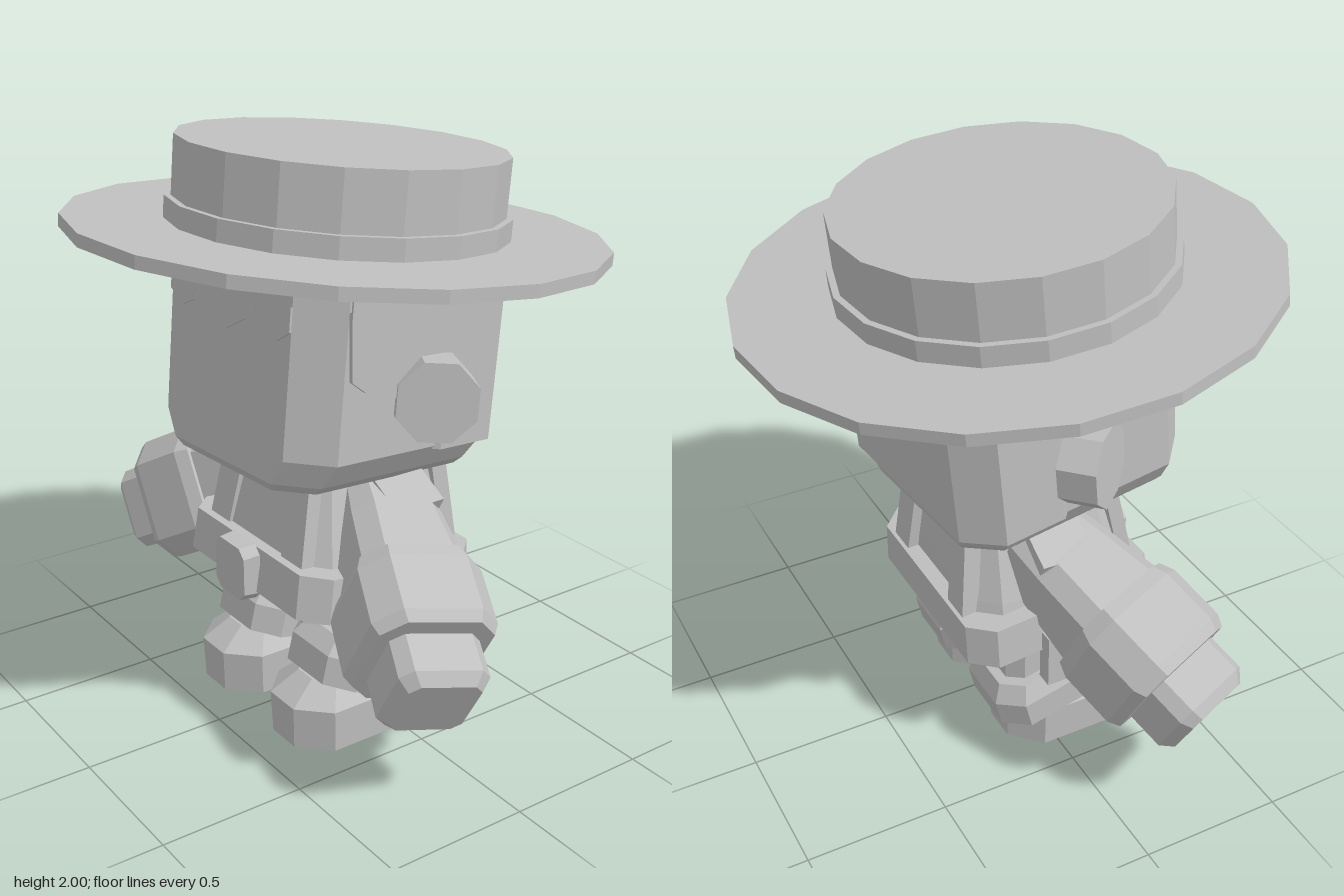
import * as THREE from 'three';

const grey = new THREE.MeshStandardMaterial({ color: 0xbfbfbf });
grey.name = 'plain grey';
grey.flatShading = true;

function add(parent, name, geometry, x = 0, y = 0, z = 0) {
  const mesh = new THREE.Mesh(geometry, grey);
  mesh.name = name;
  mesh.position.set(x, y, z);
  parent.add(mesh);
  return mesh;
}

// Skin chamfered rectangles, each [y, halfX, halfZ, chamfer, centreZ], into a closed solid
function loft(sections) {
  const pos = [], index = [];
  sections.forEach(([y, w, d, c, z = 0]) => {
    const ring = [[w, c - d], [w, d - c], [w - c, d], [c - w, d], [-w, d - c], [-w, c - d], [c - w, -d], [w - c, -d]];
    ring.forEach(([px, pz]) => pos.push(px, y, pz + z));
  });
  const top = (sections.length - 1) * 8;
  for (let s = 0; s < top; s += 8) {
    for (let i = 0; i < 8; i++) {
      const a = s + i, b = s + (i + 1) % 8;
      index.push(a, a + 8, b, b, a + 8, b + 8);
    }
  }
  for (let i = 1; i < 7; i++) {
    index.push(0, i, i + 1);
    index.push(top, top + i + 1, top + i);
  }
  const g = new THREE.BufferGeometry();
  g.setAttribute('position', new THREE.Float32BufferAttribute(pos, 3));
  g.setIndex(index);
  const flat = g.toNonIndexed();
  flat.computeVertexNormals();
  return flat;
}

function plate(points, depth) {
  const shape = new THREE.Shape(points.map(([x, y]) => new THREE.Vector2(x, y)));
  return new THREE.ExtrudeGeometry(shape, { depth, bevelEnabled: false });
}

function disc(r, h, sides) {
  return new THREE.CylinderGeometry(r, r, h, sides).toNonIndexed();
}

function buildHead() {
  const head = new THREE.Group();
  head.name = 'head';
  head.position.y = 1.67;
  head.rotation.set(-0.09, 0.087, 0);

  // Face and jaw
  add(head, 'face', loft([
    [-0.75, 0.34, 0.40, 0.10, 0],
    [-0.72, 0.37, 0.42, 0.11, 0],
    [-0.63, 0.43, 0.43, 0.12, -0.01],
    [0, 0.43, 0.43, 0.12, -0.01],
  ]));

  // Hair: back block, cap under the hat, sides and scalloped fringe
  add(head, 'backHair', loft([[-0.64, 0.445, 0.22, 0.11, -0.235], [0, 0.445, 0.22, 0.11, -0.235]]));
  add(head, 'hairCap', loft([[-0.14, 0.438, 0.438, 0.12, -0.01], [0, 0.438, 0.438, 0.12, -0.01]]));
  const side = [[0.30, 0], [0.30, -0.16], [0.28, -0.36], [0.22, -0.40], [0.14, -0.43], [-0.02, -0.44], [-0.13, -0.5], [-0.13, 0]];
  for (const s of [-1, 1]) {
    const panel = add(head, 'sideHair', plate(side, 0.02), s > 0 ? 0.445 : -0.425);
    panel.rotation.y = -Math.PI / 2;
  }
  const fringe = [[-0.31, -0.1], [-0.31, -0.22], [-0.24, -0.26], [-0.18, -0.23], [-0.14, -0.16], [-0.1, -0.23],
    [0, -0.28], [0.09, -0.23], [0.13, -0.16], [0.18, -0.23], [0.25, -0.26], [0.31, -0.22], [0.31, -0.1]];
  add(head, 'fringe', plate(fringe, 0.009), 0, 0, 0.419);

  // Eight-sided ears turned partly forward
  for (const s of [-1, 1]) {
    const ear = disc(0.14, 0.13, 8);
    ear.rotateY(Math.PI / 8);
    ear.rotateX(Math.PI / 2);
    ear.rotateY(s * 0.96);
    add(head, 'ear', ear, s * 0.48, -0.44, -0.04);
  }

  // Wide flat-topped hat
  const hat = new THREE.Group();
  hat.name = 'hat';
  hat.rotation.y = Math.PI / 2;
  add(hat, 'brim', disc(0.892, 0.042, 18), 0, 0, 0);
  add(hat, 'hatBand', disc(0.565, 0.075, 18), 0, 0.055, 0);
  add(hat, 'crown', disc(0.543, 0.27, 18), 0, 0.152, 0);
  head.add(hat);
  return head;
}

function buildBody() {
  const body = new THREE.Group();
  body.name = 'body';
  add(body, 'neck', loft([[0.85, 0.15, 0.15, 0.05], [1.02, 0.15, 0.15, 0.05]]));
  add(body, 'torso', loft([
    [0.46, 0.37, 0.31, 0.08, 0.03],
    [0.64, 0.33, 0.30, 0.08, 0.03],
    [0.95, 0.24, 0.25, 0.07, 0.01],
  ]));

  // Shoulder straps running down front and back
  for (const s of [-1, 1]) {
    const front = add(body, 'frontStrap', new THREE.BoxGeometry(0.12, 0.36, 0.05), s * 0.21, 0.78, 0.29);
    front.rotation.set(-0.19, 0, s * 0.1);
    const back = add(body, 'backStrap', new THREE.BoxGeometry(0.11, 0.38, 0.06), s * 0.2, 0.76, -0.265);
    back.rotation.set(0.1, 0, s * 0.1);
    add(body, 'hipPouch', new THREE.BoxGeometry(0.06, 0.2, 0.12), s * 0.425, 0.44, -0.02);
  }

  // Belt, raised slightly at the front, with its buckle
  const belt = add(body, 'belt', loft([[-0.075, 0.41, 0.36, 0.08], [0.075, 0.40, 0.35, 0.08]]), 0, 0.55, 0.03);
  belt.rotation.x = -0.09;
  const buckle = loft([[-0.03, 0.095, 0.1, 0.03], [0.03, 0.09, 0.095, 0.03]]);
  buckle.rotateX(Math.PI / 2);
  add(body, 'buckle', buckle, 0, 0.57, 0.41);
  return body;
}

function buildArm(s) {
  const arm = new THREE.Group();
  arm.name = s > 0 ? 'leftArm' : 'rightArm';
  // Local y runs down the arm: outward, down and a little forward
  const along = new THREE.Vector3(s * 0.82, -0.47, 0.34).normalize();
  const across = new THREE.Vector3(s * 0.47, 0.82, 0).normalize();
  const depth = new THREE.Vector3().crossVectors(across, along);
  arm.quaternion.setFromRotationMatrix(new THREE.Matrix4().makeBasis(across, along, depth));
  arm.position.set(s * 0.3, 0.76, 0.02);
  add(arm, 'sleeve', loft([[-0.1, 0.13, 0.14, 0.05], [0.06, 0.16, 0.16, 0.06], [0.3, 0.19, 0.18, 0.06]]));
  add(arm, 'cuff', loft([[0.27, 0.21, 0.19, 0.07], [0.32, 0.225, 0.21, 0.08], [0.52, 0.225, 0.21, 0.08], [0.56, 0.21, 0.19, 0.07]]));
  add(arm, 'hand', loft([[0.5, 0.15, 0.15, 0.04], [0.69, 0.15, 0.15, 0.04], [0.73, 0.12, 0.12, 0.03]]));
  return arm;
}

function buildLeg(s) {
  const leg = new THREE.Group();
  leg.name = s > 0 ? 'leftLeg' : 'rightLeg';
  leg.position.x = s * 0.225;
  add(leg, 'trouserLeg', loft([[0.2, 0.12, 0.16, 0.05, 0], [0.52, 0.12, 0.17, 0.05, 0.01]]));
  const cuff = add(leg, 'bootCuff', loft([
    [-0.08, 0.185, 0.25, 0.08],
    [0.02, 0.185, 0.25, 0.08],
    [0.08, 0.155, 0.21, 0.07],
  ]), 0, 0.25, 0.03);
  cuff.rotation.x = -0.24;
  add(leg, 'boot', loft([
    [0, 0.165, 0.265, 0.1, 0.115],
    [0.15, 0.17, 0.27, 0.1, 0.115],
    [0.22, 0.1, 0.19, 0.06, 0.1],
  ]));
  return leg;
}

export function createModel() {
  const model = new THREE.Group();
  model.name = 'figure with wide hat';
  model.add(buildHead(), buildBody());
  for (const s of [-1, 1]) {
    model.add(buildArm(s), buildLeg(s));
    const pad = add(model, 'shoulderPad', new THREE.BoxGeometry(0.16, 0.07, 0.19), s * 0.37, 0.86, -0.01);
    pad.rotation.z = -s * 0.5;
  }
  return model;
}
